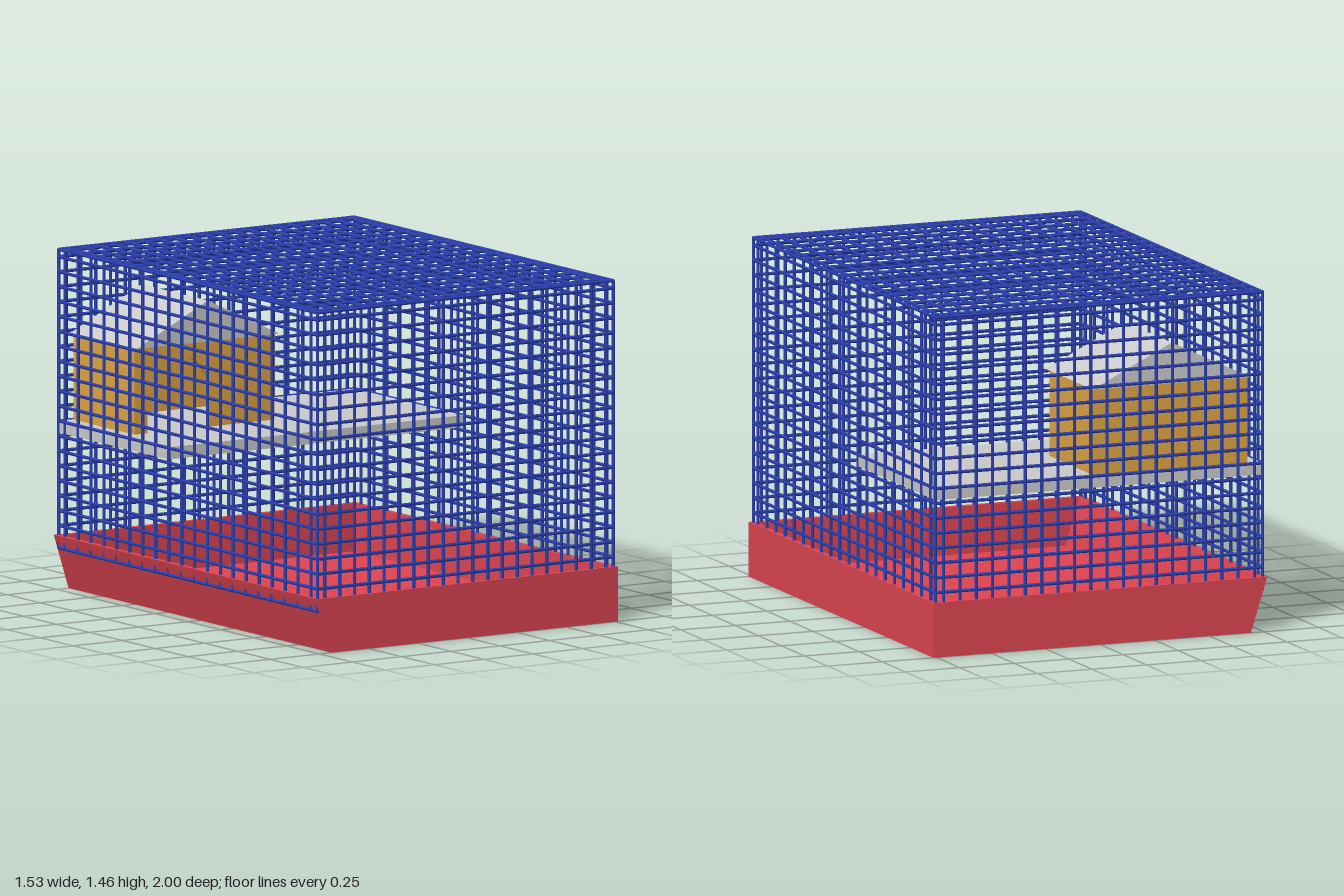
import * as THREE from 'three';

const mat = (color) => new THREE.MeshStandardMaterial({ color });
const red = mat(0xdf4552), blue = mat(0x2a3fb0), orange = mat(0xe0a545), grey = mat(0xcccccc);

function add(parent, name, geometry, material, x = 0, y = 0, z = 0) {
  const mesh = new THREE.Mesh(geometry, material);
  mesh.name = name;
  mesh.position.set(x, y, z);
  parent.add(mesh);
  return mesh;
}

const polygon = (points) => new THREE.Shape(points.map(([x, y]) => new THREE.Vector2(x, y)));
const extrude = (shape, depth) =>
  new THREE.ExtrudeGeometry(shape, { depth, bevelEnabled: false, curveSegments: 16 });

// Open tray with one sloping side
function makeTray() {
  const tray = new THREE.Group();
  tray.name = 'tray';
  const section = polygon([[-0.69, 0], [0.765, 0], [0.765, 0.235], [0.74, 0.235],
    [0.74, 0.03], [-0.675, 0.03], [-0.74, 0.235], [-0.765, 0.235]]);
  add(tray, 'trayFloorAndSides', extrude(section, 2), red, 0, 0, -1);
  const end = polygon([[-0.675, 0.03], [0.74, 0.03], [0.74, 0.235], [-0.74, 0.235]]);
  add(tray, 'trayFrontWall', extrude(end, 0.025), red, 0, 0, 0.975);
  add(tray, 'trayBackWall', extrude(end, 0.025), red, 0, 0, -1);
  return tray;
}

// Wire cage: a frame of rails filled with evenly spaced bars
function makeCage() {
  const cage = new THREE.Group();
  cage.name = 'wireCage';
  const X = 0.75, Z = 0.985, low = 0.18, high = 1.457, count = 20, radius = 0.0072;
  const half = { x: X, y: (high - low) / 2, z: Z };
  const middle = (low + high) / 2;
  const geometries = {};
  for (const axis of ['x', 'y', 'z']) {
    const g = new THREE.CylinderGeometry(radius, radius, half[axis] * 2, 8);
    if (axis === 'x') g.rotateZ(Math.PI / 2);
    if (axis === 'z') g.rotateX(Math.PI / 2);
    geometries[axis] = g;
  }
  const bar = (name, axis, x, y, z) => add(cage, name, geometries[axis], blue, x, y, z);

  for (const s of [-1, 1]) {
    const railY = middle + s * half.y;
    for (const t of [-1, 1]) {
      bar('cornerPost', 'y', s * X, middle, t * Z);
      bar('endRail', 'x', 0, railY, t * Z);
      bar('sideRail', 'z', t * X, railY, 0);
    }
  }
  for (let i = 0; i < count; i++) {
    const f = (2 * i + 1) / count - 1;
    for (const s of [-1, 1]) {
      bar('endUpright', 'y', f * X, middle, s * Z);
      bar('sideUpright', 'y', s * X, middle, f * Z);
      bar('endCrossbar', 'x', 0, middle + f * half.y, s * Z);
      bar('sideCrossbar', 'z', s * X, middle + f * half.y, 0);
    }
    bar('roofLengthBar', 'z', f * X, high, 0);
    bar('roofCrossbar', 'x', 0, high, f * Z);
  }
  return cage;
}

// Hollow little house with an arched doorway and a gable roof
function makeHouse() {
  const house = new THREE.Group();
  house.name = 'house';
  const w = 0.355, h = 0.37, depth = 0.465, t = 0.02;
  const doorX = -0.135, doorR = 0.156, spring = 0.16;
  const front = new THREE.Shape();
  front.moveTo(-w, 0);
  front.lineTo(doorX - doorR, 0);
  front.lineTo(doorX - doorR, spring);
  front.absarc(doorX, spring, doorR, Math.PI, 0, true);
  front.lineTo(doorX + doorR, 0);
  front.lineTo(w, 0);
  front.lineTo(w, h);
  front.lineTo(-w, h);
  add(house, 'houseFront', extrude(front, t), orange, 0, 0, -t);
  add(house, 'houseBack', new THREE.BoxGeometry(2 * w, h, t), orange, 0, h / 2, -depth + t / 2);
  for (const s of [-1, 1]) {
    add(house, 'houseSide', new THREE.BoxGeometry(t, h, depth - 2 * t), orange,
      s * (w - t / 2), h / 2, -depth / 2);
  }
  const gable = polygon([[-0.362, h], [0.362, h], [0, 0.545]]);
  add(house, 'houseRoof', extrude(gable, 0.51), grey, 0, 0, -0.485);
  house.position.set(-0.333, 0.725, -0.5);
  return house;
}

export function createModel() {
  const model = new THREE.Group();
  model.name = 'petCage';
  model.add(makeTray(), makeCage(), makeHouse());
  // Raised platform across the back half
  add(model, 'shelf', new THREE.BoxGeometry(1.5, 0.052, 0.835), grey, 0, 0.699, -0.5675);
  return model;
}
